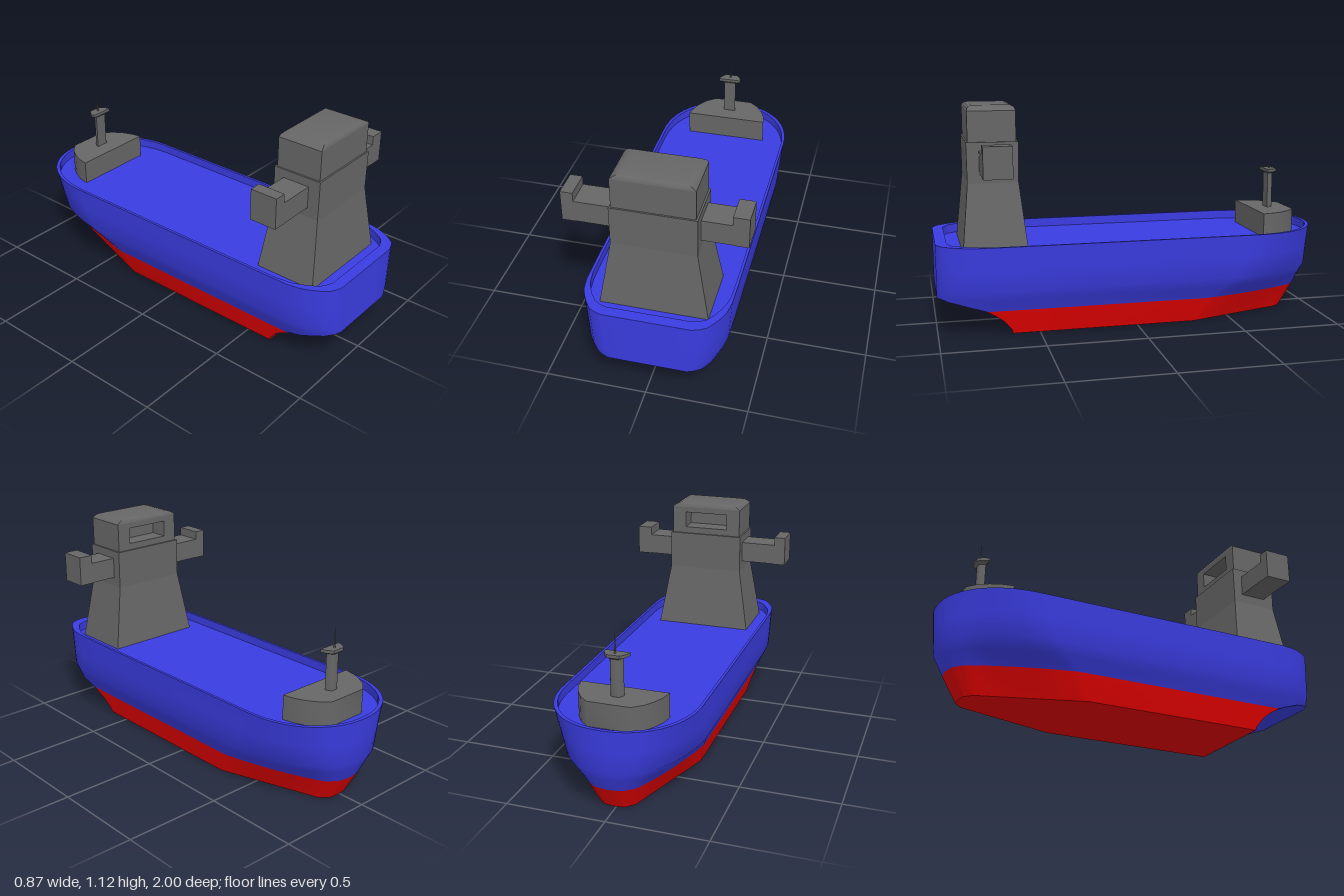
import * as THREE from 'three';
import { toCreasedNormals } from 'three/addons/utils/BufferGeometryUtils.js';

const mat = (name, color) => Object.assign(new THREE.MeshStandardMaterial({ color }), { name });

// Piecewise linear lookup in rows of [key, value]
function lerpTable(rows, k) {
  for (let i = 1; i < rows.length; i++) {
    const [a, va] = rows[i - 1], [b, vb] = rows[i];
    if (k <= b) return va + (vb - va) * (k - a) / (b - a);
  }
  return rows[rows.length - 1][1];
}

// Skin between loops, each clockwise seen from above, with optional end caps
function loft(loops, { bottom = false, top = false, crease = 0.6 } = {}) {
  const n = loops[0].length, pos = loops.flat(2), idx = [];
  for (let l = 0; l + 1 < loops.length; l++) {
    for (let i = 0; i < n; i++) {
      const j = (i + 1) % n, a = l * n + i, b = l * n + j;
      idx.push(a, a + n, b + n, a, b + n, b);
    }
  }
  const cap = (loop, start, up) => {
    const c = pos.length / 3;
    const zs = loop.map(p => p[2]);
    pos.push(0, loop[0][1], (Math.min(...zs) + Math.max(...zs)) / 2);
    for (let i = 0; i < n; i++) {
      const a = start + i, b = start + (i + 1) % n;
      idx.push(c, up ? b : a, up ? a : b);
    }
  };
  if (bottom) cap(loops[0], 0, false);
  if (top) cap(loops[loops.length - 1], (loops.length - 1) * n, true);
  const g = new THREE.BufferGeometry();
  g.setAttribute('position', new THREE.Float32BufferAttribute(pos, 3));
  g.setIndex(idx);
  return toCreasedNormals(g, crease);
}

// Hull dimensions by height
const halfWidth = [[0, 0.257], [0.13, 0.291], [0.24, 0.343], [0.46, 0.357]];
const bowEnd = [[0, -0.86], [0.13, -0.935], [0.24, -0.985], [0.46, -1]];
const bowLength = [[0, 0.56], [0.13, 0.57], [0.24, 0.48], [0.46, 0.4]];
const bowTaper = [[0, 1], [0.13, 0.6], [0.24, 0.2], [0.46, 0]];
const sternCut = [[0, 0.635], [0.02, 0.64], [0.07, 0.68], [0.12, 0.745], [0.14, 0.8], [0.17, 0.9], [0.18, 0.95], [0.19, 1]];

// Keel nose outline and stern corner outline
const noseX = [[0, 0], [0.2, 0.2], [0.35, 0.36], [1, 1]];
const noseZ = [[0, 0], [0.2, 0.01], [0.35, 0.08], [1, 1]];
const sternCorner = [[1, 0.62], [0.995, 0.78], [0.965, 0.85], [0.92, 0.89], [0.86, 0.93], [0.78, 0.97], [0.7, 0.987], [0.6, 1], [0.3, 1], [0, 1]];

function hullLoop(y, inset = 0, sternInset = 0) {
  const w = lerpTable(halfWidth, y) - inset;
  const bow = lerpTable(bowEnd, y) + inset * 1.3;
  const len = lerpTable(bowLength, y), taper = lerpTable(bowTaper, y);
  const half = [], n = 20;
  for (let i = 0; i <= n; i++) {
    const t = i / n, a = t * Math.PI / 2;
    // rounded bow up top, straight tapered nose near the keel
    const roundX = Math.sin(a) ** 0.93, roundZ = 1 - Math.cos(a) ** 0.93;
    half.push([
      w * THREE.MathUtils.lerp(roundX, lerpTable(noseX, t), taper), y,
      bow + len * THREE.MathUtils.lerp(roundZ, lerpTable(noseZ, t), taper),
    ]);
  }
  // stern corner, trimmed straight across by the undercut
  const cut = lerpTable(sternCut, y);
  const k = sternCorner.findIndex(([, z]) => z > cut);
  const cutX = k > 0 ? lerpTable(sternCorner.map(([f, z]) => [z, f]), cut) : 1;
  sternCorner.forEach(([f, z], i) => {
    const x = k >= 0 && i >= k ? cutX * f / sternCorner[k][0] : f;
    half.push([w * x, y, Math.min(z - sternInset, cut)]);
  });
  const mirror = half.slice(1, -1).reverse().map(([x, yy, z]) => [-x, yy, z]);
  return [...half, ...mirror];
}

const rectLoop = (y, hx, z0, z1) => [[-hx, y, z0], [hx, y, z0], [hx, y, z1], [-hx, y, z1]];

// D-shaped outline, flat towards the stern
const dLoop = (y, hw, zFlat, depth) => [
  [-1, 0], [-0.95, 0.3], [-0.85, 0.55], [-0.7, 0.8], [-0.48, 1],
  [0.48, 1], [0.7, 0.8], [0.85, 0.55], [0.95, 0.3], [1, 0],
].map(([x, d]) => [x * hw, y, zFlat - d * depth]);

export function createModel() {
  const blue = mat('hull blue', 0x3a3ce0);
  const red = mat('keel red', 0xe60000);
  const grey = mat('structure grey', 0x666666);

  const model = new THREE.Group();
  model.name = 'ship';
  const ship = new THREE.Group();
  ship.name = 'shipBody';
  ship.position.x = 0.013;
  model.add(ship);
  const add = (name, geo, material, parent = ship) => {
    const m = new THREE.Mesh(geo, material);
    m.name = name;
    parent.add(m);
  };
  const box = (name, [x0, x1], [y0, y1], [z0, z1], parent) => {
    const g = new THREE.BoxGeometry(x1 - x0, y1 - y0, z1 - z0);
    add(name, g.translate((x0 + x1) / 2, (y0 + y1) / 2, (z0 + z1) / 2), grey, parent);
  };

  // Hull: red underside, blue sides, bulwark and deck
  add('lowerHull', loft([0, 0.02, 0.045, 0.07, 0.1, 0.127].map(y => hullLoop(y)), { bottom: true }), red);
  add('upperHull', loft([0.127, 0.14, 0.155, 0.17, 0.18, 0.19, 0.24, 0.35, 0.46].map(y => hullLoop(y))), blue);
  const rim = hullLoop(0.46, 0.014, 0.055);
  const deck = rim.map(([x, , z]) => [x, 0.415, z]);
  add('bulwarkAndDeck', loft([hullLoop(0.46), rim, deck], { top: true }), blue);

  // Bridge tower
  add('tower', loft([
    rectLoop(0.41, 0.263, 0.55, 0.87),
    rectLoop(0.75, 0.204, 0.587, 0.836),
    rectLoop(0.95, 0.204, 0.585, 0.838),
  ], { top: true, crease: 0.1 }), grey);

  // Cabin: solid front, rear sill, pillars and lintel around a deep window
  const cabinX = [-0.195, 0.195], rearZ = [0.595, 0.695];
  box('cabinFront', cabinX, [0.945, 1.1], [0.695, 0.83]);
  box('windowSill', cabinX, [0.945, 0.985], rearZ);
  box('windowLintel', cabinX, [1.07, 1.1], rearZ);
  box('windowPillarRight', [-0.195, -0.12], [0.985, 1.07], rearZ);
  box('windowPillarLeft', [0.12, 0.195], [0.985, 1.07], rearZ);

  // Roof with rounded edges
  add('cabinRoof', loft([[1.1, 0, 0], [1.111, 0.012, 0.003], [1.12, 0.03, 0.011], [1.125, 0.055, 0.025]]
    .map(([y, dx, dz]) => rectLoop(y, 0.195 - dx, 0.595 + dz, 0.83 - dz)), { top: true }), grey);

  // Bridge wings: arm and raised end box on each side
  const wingZ = [0.637, 0.777];
  box('rightWingArm', [-0.385, -0.18], [0.799, 0.908], wingZ, model);
  box('rightWingBox', [-0.438, -0.378], [0.797, 0.953], wingZ, model);
  box('leftWingArm', [0.2, 0.37], [0.799, 0.908], wingZ, model);
  box('leftWingBox', [0.359, 0.436], [0.797, 0.953], wingZ, model);

  // Bow house, mast, lookout and antenna
  const dBlock = (name, y0, y1, hw, z, depth) =>
    add(name, loft([dLoop(y0, hw, z, depth), dLoop(y1, hw, z, depth)], { bottom: true, top: true, crease: 0.9 }), grey);
  dBlock('bowHouse', 0.41, 0.54, 0.221, -0.688, 0.205);
  dBlock('mast', 0.53, 0.735, 0.033, -0.778, 0.032);
  add('lookout', loft([
    dLoop(0.725, 0.036, -0.776, 0.036),
    dLoop(0.735, 0.062, -0.767, 0.058),
    dLoop(0.75, 0.062, -0.767, 0.058),
  ], { bottom: true, top: true }), grey);
  add('antenna', new THREE.CylinderGeometry(0.001, 0.005, 0.105, 6).translate(0, 0.797, -0.797), grey);

  return model;
}
